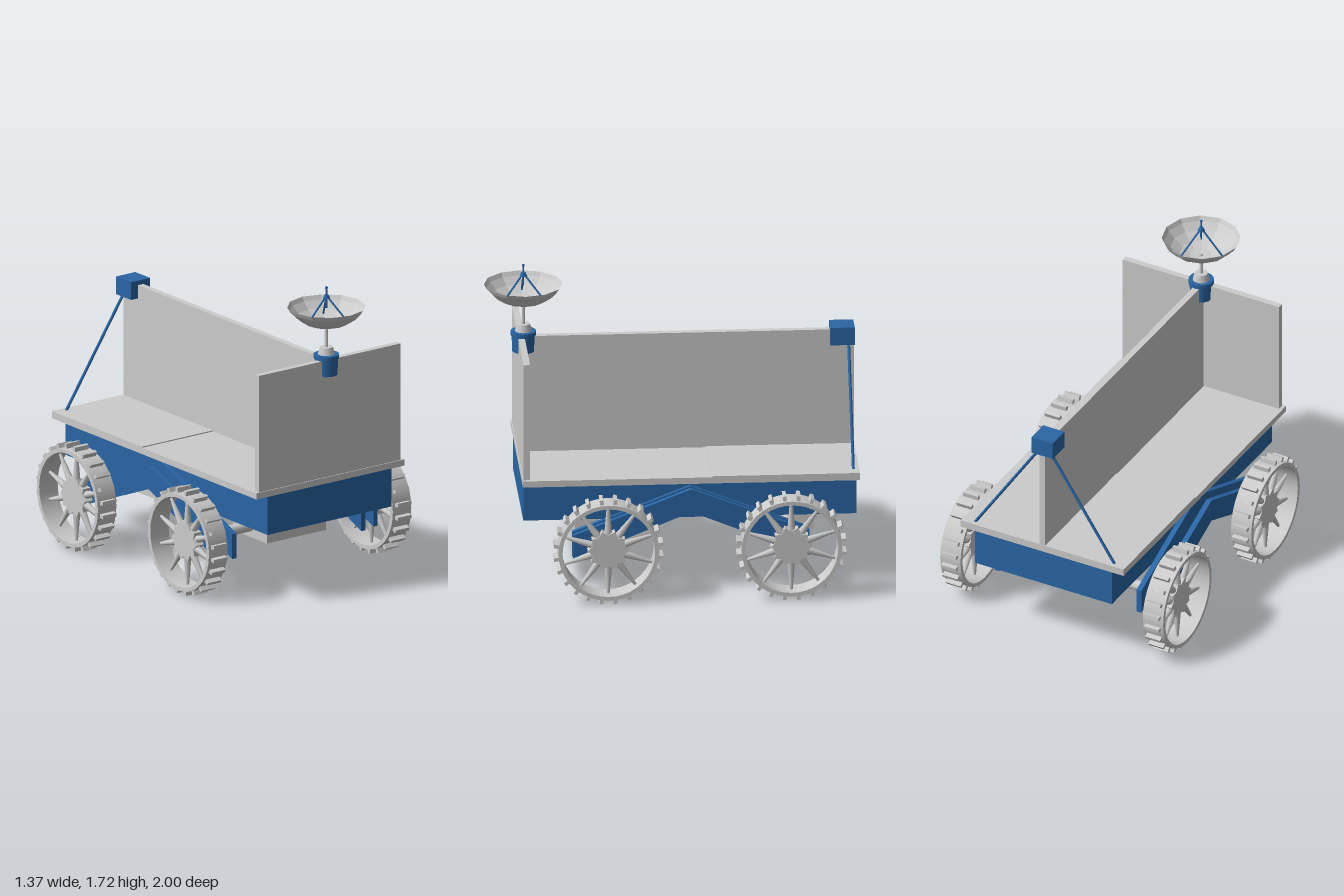
import * as THREE from 'three';

export function createModel() {
  const model = new THREE.Group();
  const grey = new THREE.MeshStandardMaterial({ color: 0xcccccc });
  const greyFlat = new THREE.MeshStandardMaterial({ color: 0xcccccc, flatShading: true, side: THREE.DoubleSide });
  const blue = new THREE.MeshStandardMaterial({ color: 0x2a66a5 });

  const add = (name, geo, mat, parent = model) => {
    const mesh = new THREE.Mesh(geo, mat);
    mesh.name = name;
    parent.add(mesh);
    return mesh;
  };
  // Box given by its limits on each axis
  const box = (name, mat, x0, x1, y0, y1, z0, z1, parent) => {
    const geo = new THREE.BoxGeometry(x1 - x0, y1 - y0, z1 - z0);
    geo.translate((x0 + x1) / 2, (y0 + y1) / 2, (z0 + z1) / 2);
    return add(name, geo, mat, parent);
  };
  // Round, optionally tapered, bar between two points
  const rod = (name, mat, a, b, r0, r1 = r0, parent = model, sides = 8) => {
    const from = new THREE.Vector3(...a), to = new THREE.Vector3(...b);
    const dir = to.clone().sub(from);
    const mesh = add(name, new THREE.CylinderGeometry(r1, r0, dir.length(), sides), mat, parent);
    mesh.position.copy(from).add(to).multiplyScalar(0.5);
    mesh.quaternion.setFromUnitVectors(new THREE.Vector3(0, 1, 0), dir.normalize());
    return mesh;
  };

  // Body, deck and panels
  box('chassis', blue, -0.42, 0.42, 0.405, 0.622, -0.985, 0.813);
  box('frontDeck', grey, -0.5, 0.5, 0.622, 0.657, -0.2, 0.82);
  box('rearDeck', grey, -0.5, 0.5, 0.622, 0.663, -1, -0.2);
  box('frontPanel', grey, -0.48, 0.48, 0.657, 1.315, 0.78, 0.815);
  box('centrePanel', grey, -0.018, 0.018, 0.657, 1.315, -0.998, 0.78);

  // Rear box with its two stays
  box('rearBox', blue, -0.065, 0.065, 1.24, 1.34, -1, -0.868);
  for (const s of [-1, 1])
    rod('rearStay', blue, [s * 0.43, 0.655, -0.968], [s * 0.03, 1.26, -0.968], 0.008);

  // Chevron suspension blades, two on each side
  const chevron = new THREE.Shape([
    [0.55, 0.2], [0.55, 0.34], [-0.087, 0.59], [-0.725, 0.34], [-0.725, 0.2], [-0.087, 0.46],
  ].map(([z, y]) => new THREE.Vector2(-z, y)));
  const bladeGeo = new THREE.ExtrudeGeometry(chevron, { depth: 0.03, bevelEnabled: false });
  bladeGeo.rotateY(Math.PI / 2);
  for (const [x, y] of [[-0.541, 0], [-0.459, 0.01], [0.414, 0], [0.496, 0.01]])
    add('suspensionBlade', bladeGeo, blue).position.set(x, y, 0);

  // Wheel rim, open in the middle, turning about x
  const rimProfile = [[0.25, -0.0625], [0.272, -0.0625], [0.272, 0.0625], [0.25, 0.0625], [0.25, -0.0625]];
  const rimGeo = new THREE.LatheGeometry(
    rimProfile.flatMap((p, i) => (i % 4 ? [p, p] : [p])).map(p => new THREE.Vector2(...p)), 40);
  rimGeo.rotateZ(-Math.PI / 2);

  // Toothed hub
  const star = new THREE.Shape(Array.from({ length: 20 }, (_, i) => {
    const a = (i / 20) * Math.PI * 2, r = i % 2 ? 0.088 : 0.112;
    return new THREE.Vector2(Math.cos(a) * r, Math.sin(a) * r);
  }));
  const hubGeo = new THREE.ExtrudeGeometry(star, { depth: 0.05, bevelEnabled: false });
  hubGeo.translate(0, 0, -0.025);
  hubGeo.rotateY(Math.PI / 2);
  const treadGeo = new THREE.BoxGeometry(0.092, 0.034, 0.02);

  const makeWheel = () => {
    const wheel = new THREE.Group();
    wheel.name = 'wheel';
    add('rim', rimGeo, greyFlat.clone(), wheel).material.flatShading = false;
    add('hub', hubGeo, grey, wheel);
    for (let i = 0; i < 10; i++) {
      const a = (i / 10) * Math.PI * 2, c = Math.cos(a), s = Math.sin(a);
      rod('spoke', grey, [0, c * 0.08, s * 0.08], [0, c * 0.26, s * 0.26], 0.022, 0.007, wheel);
    }
    for (let i = 0; i < 24; i++) {
      const a = ((i + 0.5) / 24) * Math.PI * 2;
      const tread = add('tread', treadGeo, grey, wheel);
      tread.position.set(0, Math.cos(a) * 0.281, Math.sin(a) * 0.281);
      tread.rotation.x = a;
    }
    return wheel;
  };

  // Axles with gearboxes and wheels
  for (const z of [0.368, -0.62]) {
    box('gearbox', grey, -0.2, 0.2, 0.24, 0.41, z - 0.15, z + 0.15);
    rod('axle', grey, [-0.62, 0.302, z], [0.62, 0.302, z], 0.029, 0.029, model, 16);
    for (const s of [-1, 1]) {
      const wheel = makeWheel();
      wheel.position.set(s * 0.622, 0.302, z);
      model.add(wheel);
    }
  }

  // Dish antenna on its mast
  const antenna = new THREE.Group();
  antenna.name = 'antenna';
  antenna.position.z = 0.785;
  model.add(antenna);
  rod('mastSocket', blue, [0, 1.227, 0], [0, 1.325, 0], 0.06, 0.064, antenna, 16);
  rod('socketRim', blue, [0, 1.318, 0], [0, 1.342, 0], 0.069, 0.069, antenna, 16);
  rod('mastCollar', grey, [0, 1.342, 0], [0, 1.382, 0], 0.046, 0.036, antenna, 16);
  rod('mast', grey, [0, 1.38, 0], [0, 1.505, 0], 0.01, 0.01, antenna, 10);
  const bowl = [[0, 1.495], [0.06, 1.499], [0.115, 1.517], [0.165, 1.55], [0.2, 1.587], [0.213, 1.61]];
  add('dish', new THREE.LatheGeometry(bowl.map(p => new THREE.Vector2(...p)), 12), greyFlat, antenna);
  for (let i = 0; i < 3; i++) {
    const a = Math.PI + (i / 3) * Math.PI * 2;
    rod('feedLeg', blue, [Math.cos(a) * 0.13, 1.53, Math.sin(a) * 0.13], [0, 1.67, 0], 0.005, 0.005, antenna);
  }
  rod('feedRod', blue, [0, 1.6, 0], [0, 1.72, 0], 0.005, 0.005, antenna);
  rod('feedHead', blue, [0, 1.655, 0], [0, 1.675, 0], 0.02, 0.012, antenna, 12);
  add('feedTip', new THREE.SphereGeometry(0.008, 10, 8), blue, antenna).position.y = 1.715;

  return model;
}
